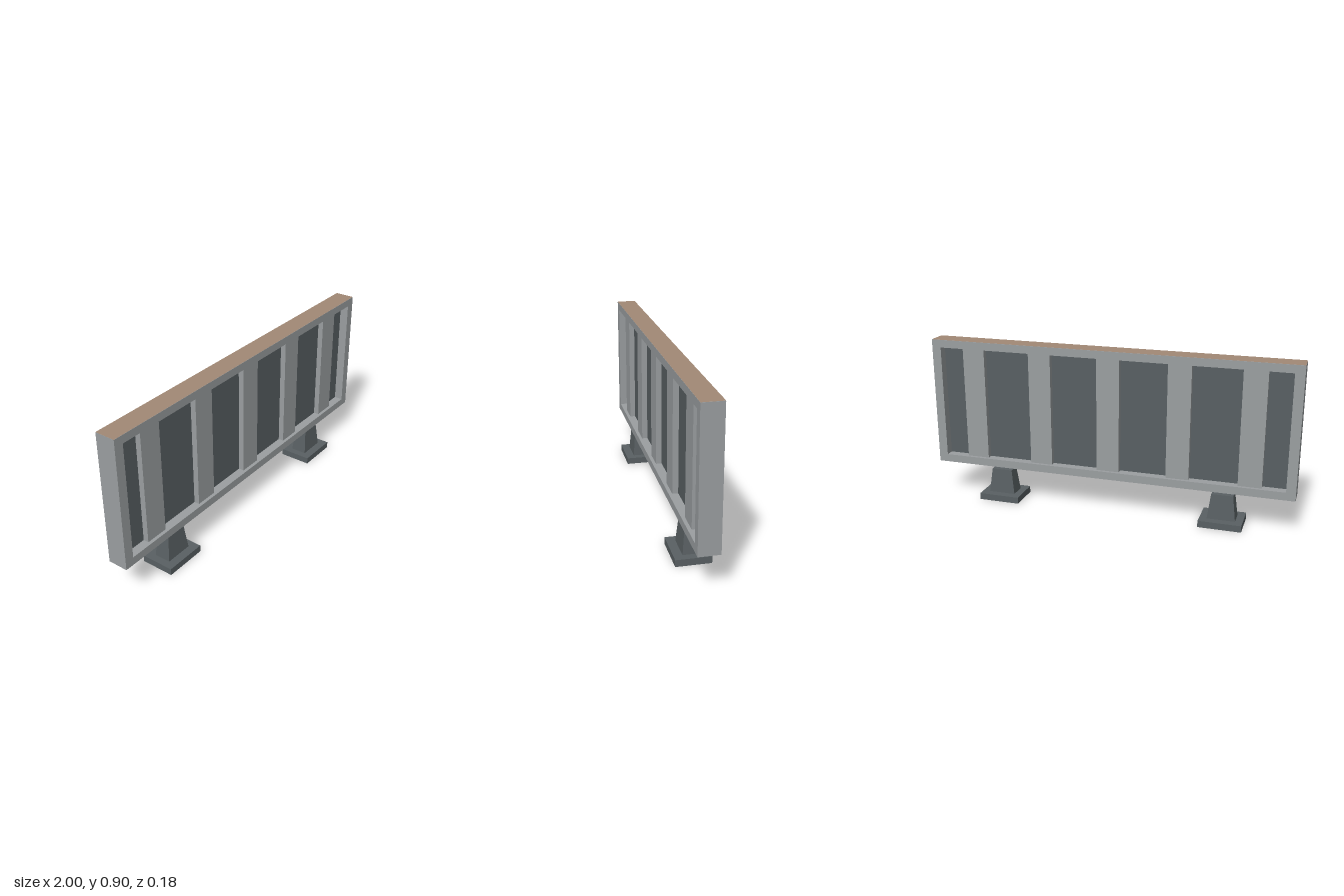
import * as THREE from 'three';

const frameGrey = new THREE.MeshStandardMaterial({ color: 0x9b9fa1, name: 'light grey metal' });
const darkGrey = new THREE.MeshStandardMaterial({ color: 0x596063, name: 'dark grey metal' });
const brown = new THREE.MeshStandardMaterial({ color: 0xa28975, name: 'brown top' });

function add(parent, name, geometry, material, x = 0, y = 0, z = 0) {
  const mesh = new THREE.Mesh(geometry, material);
  mesh.name = name;
  mesh.position.set(x, y, z);
  parent.add(mesh);
  return mesh;
}

// Rectangular ring lying in the xy plane, extruded along z
function ring(x0, y0, x1, y1, hx0, hy0, hx1, hy1, depth) {
  const rect = (C, a, b, c, d) => {
    const s = new C();
    s.moveTo(a, b); s.lineTo(c, b); s.lineTo(c, d); s.lineTo(a, d); s.closePath();
    return s;
  };
  const shape = rect(THREE.Shape, x0, y0, x1, y1);
  shape.holes.push(rect(THREE.Path, hx0, hy0, hx1, hy1));
  return new THREE.ExtrudeGeometry(shape, { depth, bevelEnabled: false });
}

// Box whose top narrows to the given half sizes
function taperedBox(w, h, d, topW, topD) {
  const geo = new THREE.BoxGeometry(w, h, d);
  const p = geo.attributes.position;
  for (let i = 0; i < p.count; i++) {
    if (p.getY(i) > 0) {
      p.setX(i, Math.sign(p.getX(i)) * topW / 2);
      p.setZ(i, Math.sign(p.getZ(i)) * topD / 2);
    }
  }
  geo.computeVertexNormals();
  return geo;
}

export function createModel() {
  const model = new THREE.Group();
  model.name = 'barrier';

  // Outer frame with its brown top face
  add(model, 'frame', ring(-1, 0.193, 1, 0.899, -0.95, 0.236, 0.95, 0.857, 0.108), frameGrey, 0, 0, -0.054);
  const top = add(model, 'topFace', new THREE.PlaneGeometry(2, 0.108), brown, 0, 0.9, 0);
  top.rotation.x = -Math.PI / 2;

  // Recessed panel and the upright slats on both sides of it
  add(model, 'panel', new THREE.BoxGeometry(1.9, 0.621, 0.012), darkGrey, 0, 0.5465, 0);
  for (let i = -2; i <= 2; i++) {
    add(model, 'slat', new THREE.BoxGeometry(0.124, 0.621, 0.072), frameGrey, i * 0.382, 0.5465, 0);
  }

  // Feet: an open ring base and a tapered post
  for (const side of [-1, 1]) {
    const foot = new THREE.Group();
    foot.name = side > 0 ? 'leftFoot' : 'rightFoot';
    foot.position.x = side * 0.625;
    const base = add(foot, 'footBase', ring(-0.115, -0.09, 0.115, 0.09, -0.074, -0.044, 0.074, 0.044, 0.036), darkGrey);
    base.rotation.x = -Math.PI / 2;
    add(foot, 'footPost', taperedBox(0.15, 0.136, 0.09, 0.116, 0.066), darkGrey, 0, 0.104, 0);
    model.add(foot);
  }
  return model;
}
